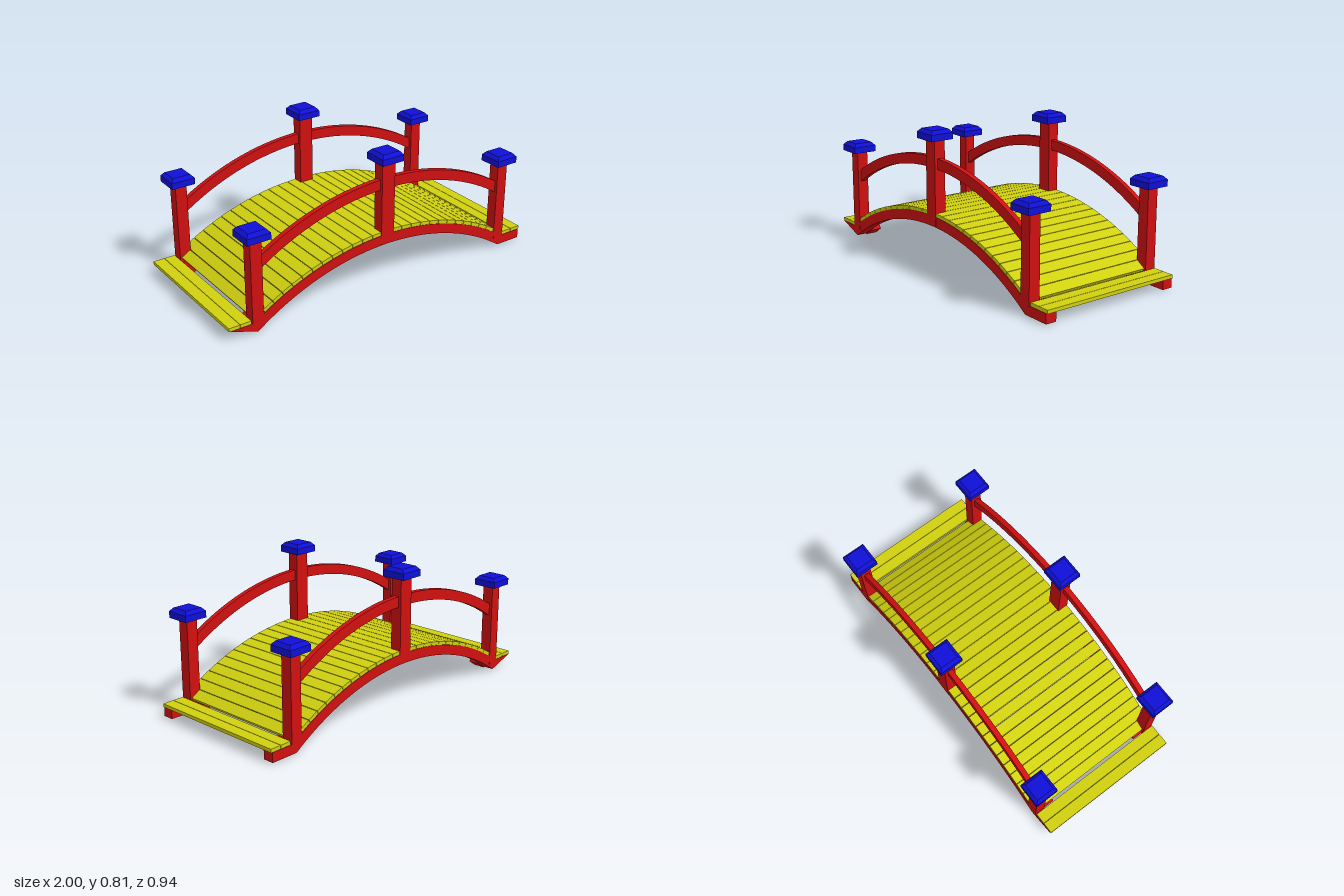
import * as THREE from 'three';

const red = new THREE.MeshStandardMaterial({ color: 0xd01010, flatShading: true });
const yellow = new THREE.MeshStandardMaterial({ color: 0xd0d010, flatShading: true });
const blue = new THREE.MeshStandardMaterial({ color: 0x1010d8, flatShading: true });

const R = 1.455;        // radius of the beam's underside
const CY = -1.195;      // height of the arch centre
const SIDE_Z = 0.4;     // distance of beams, posts and rails from the middle

function add(parent, name, geometry, material, x = 0, y = 0, z = 0) {
  const mesh = new THREE.Mesh(geometry, material);
  mesh.name = name;
  mesh.position.set(x, y, z);
  parent.add(mesh);
  return mesh;
}

function extrude(shape, depth) {
  const g = new THREE.ExtrudeGeometry(shape, { depth, bevelEnabled: false, curveSegments: 32 });
  return g.translate(0, 0, -depth / 2);
}

// Arched beam with flat feet at both ends
function beamGeometry() {
  const h = 0.055, Ro = R + 0.058;
  const a = Math.acos(-CY / R), b = Math.acos((h - CY) / Ro);
  const s = new THREE.Shape();
  s.moveTo(-0.993, 0);
  s.absarc(0, CY, R, Math.PI / 2 + a, Math.PI / 2 - a, true);
  s.lineTo(0.993, 0);
  s.lineTo(0.993, h);
  s.absarc(0, CY, Ro, Math.PI / 2 - b, Math.PI / 2 + b, false);
  s.lineTo(-0.993, h);
  s.closePath();
  return extrude(s, 0.064);
}

// Curved handrail running through the posts
function railGeometry() {
  const cy = CY + 0.325, half = Math.asin(0.81 / 1.485);
  const s = new THREE.Shape();
  s.absarc(0, cy, R, Math.PI / 2 + half, Math.PI / 2 - half, true);
  s.absarc(0, cy, R + 0.06, Math.PI / 2 - half, Math.PI / 2 + half, false);
  s.closePath();
  return extrude(s, 0.03);
}

// Square post cap with a bevelled top
function capGeometry() {
  const k = Math.SQRT2;
  const profile = [[0, 0], [0.07, 0], [0.07, 0.037], [0.052, 0.057], [0, 0.057]];
  return new THREE.LatheGeometry(profile.map(([r, y]) => new THREE.Vector2(r * k, y)), 4, Math.PI / 4);
}

export function createModel() {
  const model = new THREE.Group();
  model.name = 'archedBridge';

  const beam = beamGeometry(), rail = railGeometry(), cap = capGeometry();
  const posts = [
    { x: -0.828, w: 0.068, y0: 0.04, y1: 0.531 },
    { x: 0, w: 0.085, y0: 0.262, y1: 0.747 },
    { x: 0.828, w: 0.068, y0: 0.04, y1: 0.531 },
  ];

  for (const side of [1, -1]) {
    const group = new THREE.Group();
    group.name = side > 0 ? 'frontSide' : 'backSide';
    model.add(group);
    const z = side * SIDE_Z;
    add(group, 'beam', beam, red, 0, 0, z);
    add(group, 'handrail', rail, red, 0, 0, z);

    for (const { x, w, y0, y1 } of posts) {
      add(group, 'post', new THREE.BoxGeometry(w, y1 - y0, 0.066), red, x, (y0 + y1) / 2, z);
      add(group, 'postCap', cap, blue, x, y1, z);
      // Support block on the inside of the beam, tilted along the arch
      const tilt = Math.asin(x / 1.485);
      const block = add(group, 'supportBlock', new THREE.BoxGeometry(w, 0.055, 0.07), red,
        x * 0.985, CY + 1.484 * Math.cos(tilt), side * 0.335);
      block.rotation.z = -tilt;
    }
  }

  // Deck planks following the arch
  const deck = new THREE.Group();
  deck.name = 'deck';
  model.add(deck);
  const count = 27, pitch = 1.18 / count, radius = R + 0.068;
  const plank = new THREE.BoxGeometry(0.0635, 0.021, 0.858);
  for (let i = 0; i < count; i++) {
    const a = (i - (count - 1) / 2) * pitch;
    const p = add(deck, 'plank', plank, yellow, radius * Math.sin(a), CY + radius * Math.cos(a), 0);
    p.rotation.z = -a;
  }

  // Level planks on the feet
  for (const side of [1, -1]) {
    for (const x of [0.9675, 0.9]) {
      add(deck, 'endPlank', new THREE.BoxGeometry(0.065, 0.02, 0.858), yellow, side * x, 0.065, 0);
    }
  }
  return model;
}
